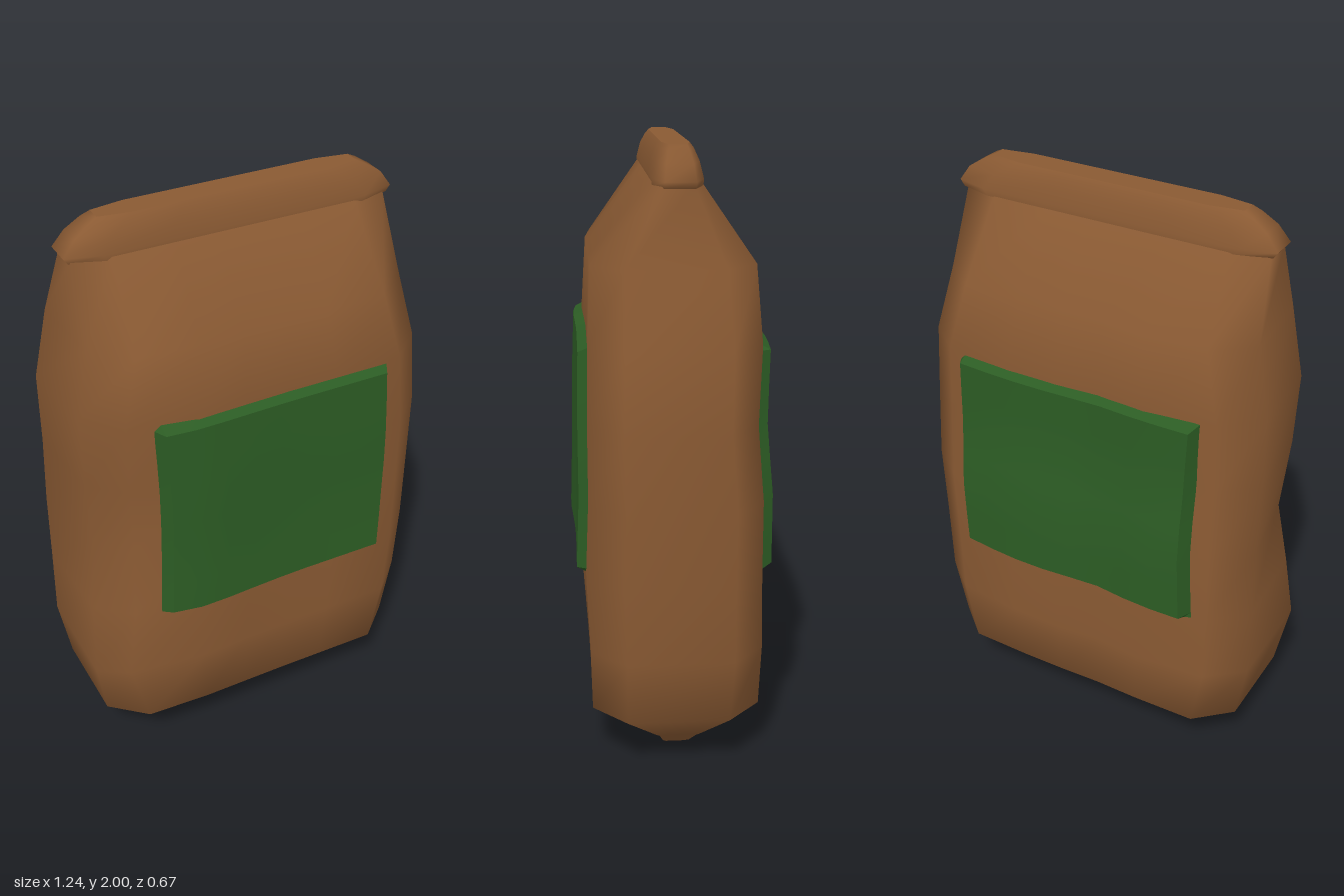
import * as THREE from 'three';
import { toCreasedNormals } from 'three/addons/utils/BufferGeometryUtils.js';

const brown = new THREE.MeshStandardMaterial({ color: 0x8a5a33 });
const green = new THREE.MeshStandardMaterial({ color: 0x2c5c24 });

// Body levels: y, xLow, xHigh, zFront, zBack, dent of the low-x front corner
const LEVELS = [
  [0.08, -0.48, 0.46, 0.10, -0.12, 0],
  [0.18, -0.58, 0.56, 0.27, -0.28, 0],
  [0.40, -0.62, 0.60, 0.275, -0.295, -0.03],
  [0.65, -0.62, 0.61, 0.285, -0.295, 0.02],
  [0.90, -0.62, 0.62, 0.275, -0.295, 0.05],
  [1.15, -0.62, 0.62, 0.275, -0.27, 0.03],
  [1.40, -0.62, 0.60, 0.27, -0.275, 0.02],
  [1.64, -0.575, 0.53, 0.26, -0.255, 0.02],
  [1.89, -0.55, 0.52, 0.07, -0.08, 0],
];

// Piecewise linear lookup of column k in a table sorted by its first column
function lookup(table, v, k) {
  let i = 0;
  while (i < table.length - 2 && v > table[i + 1][0]) i++;
  const a = table[i], b = table[i + 1];
  const t = THREE.MathUtils.clamp((v - a[0]) / (b[0] - a[0]), 0, 1);
  return a[k] + (b[k] - a[k]) * t;
}

// Wrinkles across the width: x, front shift, back shift
const WRINKLE = [
  [-0.5, -0.03, 0.015], [-0.42, -0.01, -0.015], [-0.26, 0.018, -0.015], [-0.09, 0.008, 0.005],
  [0.07, 0, -0.012], [0.25, 0, -0.012], [0.5, 0, 0.02],
];

function faceZ(x, y, side) {
  const k = side > 0 ? 1 : 2;
  const amount = THREE.MathUtils.clamp((1.85 - y) / 0.9, 0, 1) * THREE.MathUtils.clamp((y - 0.08) / 0.4, 0, 1);
  return lookup(LEVELS, y, side > 0 ? 3 : 4) + lookup(WRINKLE, x, k) * amount;
}

// Rounded-off rectangular ring of 16 points, running along the front first
function ring([y, x0, x1, zf, zb, dent = 0], cut, zAt) {
  const a = x0 + cut, b = x1 - cut;
  const xs = [0, 0.25, 0.42, 0.58, 0.76, 1].map((t) => a + (b - a) * t);
  const mid = (zf + zb) / 2, half = (zf - zb) * 0.3;
  return [
    ...xs.map((x, i) => [x + (i === 0 ? dent * 0.6 : 0), y, zAt(x, y, 1) - (i === 0 ? Math.max(dent, 0) * 0.5 : 0)]),
    [x1, y, mid + half], [x1, y, mid - half],
    ...xs.reverse().map((x) => [x, y, zAt(x, y, -1)]),
    [x0, y, mid - half],
    [x0 + Math.max(dent, 0), y, mid + half - dent],
  ];
}

// Skin over stacked rings, with separate caps so that their rims stay sharp
function loft(rings) {
  const pos = [], index = [], n = rings[0].length;
  rings.forEach((r) => r.forEach((p) => pos.push(...p)));
  for (let i = 0; i < rings.length - 1; i++) {
    for (let j = 0; j < n; j++) {
      const a = i * n + j, b = i * n + (j + 1) % n;
      index.push(a, b, b + n, a, b + n, a + n);
    }
  }
  [[rings[0], true], [rings[rings.length - 1], false]].forEach(([r, down]) => {
    const s = pos.length / 3;
    r.forEach((p) => pos.push(...p));
    const c = [0, 1, 2].map((k) => r.reduce((sum, p) => sum + p[k], 0) / n);
    pos.push(...c);
    for (let j = 0; j < n; j++) {
      const k = (j + 1) % n;
      index.push(s + n, s + (down ? k : j), s + (down ? j : k));
    }
  });
  const g = new THREE.BufferGeometry();
  g.setAttribute('position', new THREE.Float32BufferAttribute(pos, 3));
  g.setIndex(index);
  g.computeVertexNormals();
  return g;
}

// Panel lying on the face of the bag, with a bevelled border
function panel(side, x0, x1, thick) {
  const NX = 10, NY = 8, y0 = 0.645, y1 = 1.395, inset = 0.022;
  const g = new THREE.PlaneGeometry(1, 1, NX, NY);
  const p = g.attributes.position;
  const spread = (i, n, a, b) => {
    if (i === 0) return a;
    if (i === n) return b;
    return a + inset + (b - a - 2 * inset) * (i - 1) / (n - 2);
  };
  for (let j = 0; j <= NY; j++) {
    for (let i = 0; i <= NX; i++) {
      const rim = i === 0 || j === 0 || i === NX || j === NY;
      const y = spread(NY - j, NY, y0, y1);
      const sway = 0.012 * Math.sin((y - y0) / (y1 - y0) * Math.PI);
      const x = spread(side > 0 ? i : NX - i, NX, x0, x1) + sway;
      p.setXYZ(j * (NX + 1) + i, x, y, faceZ(x, y, side) + side * (rim ? -0.012 : thick));
    }
  }
  return toCreasedNormals(g, 0.5);
}

export function createModel() {
  const group = new THREE.Group();
  const add = (name, geometry, material) => {
    const mesh = new THREE.Mesh(geometry, material);
    mesh.name = name;
    group.add(mesh);
  };
  const flatZ = (l) => (x, y, side) => (side > 0 ? l[3] : l[4]);

  // Sack body
  add('bagBody', loft(LEVELS.map((l) => ring(l, 0.12, faceZ))), brown);

  // Folded seam under the body
  const seam = [
    [0, -0.38, 0.35, 0.045, -0.06],
    [0.03, -0.42, 0.40, 0.065, -0.08],
    [0.085, -0.48, 0.46, 0.10, -0.125],
  ];
  add('bottomFold', loft(seam.map((l) => ring(l, 0.1, flatZ(l)))), brown);

  // Rolled lip closing the top
  const lip = [
    [1.88, -0.555, 0.535, 0.07, -0.085],
    [1.90, -0.57, 0.55, 0.07, -0.085],
    [1.95, -0.53, 0.515, 0.06, -0.075],
    [1.985, -0.48, 0.46, 0.045, -0.062],
    [2.0, -0.45, 0.43, 0.035, -0.052],
  ];
  add('topLip', loft(lip.map((l) => ring(l, 0.11, flatZ(l)))), brown);

  // Plain coloured panels on both faces
  add('frontPanel', panel(1, -0.4, 0.435, 0.03), green);
  add('backPanel', panel(-1, -0.45, 0.44, 0.03), green);
  return group;
}
